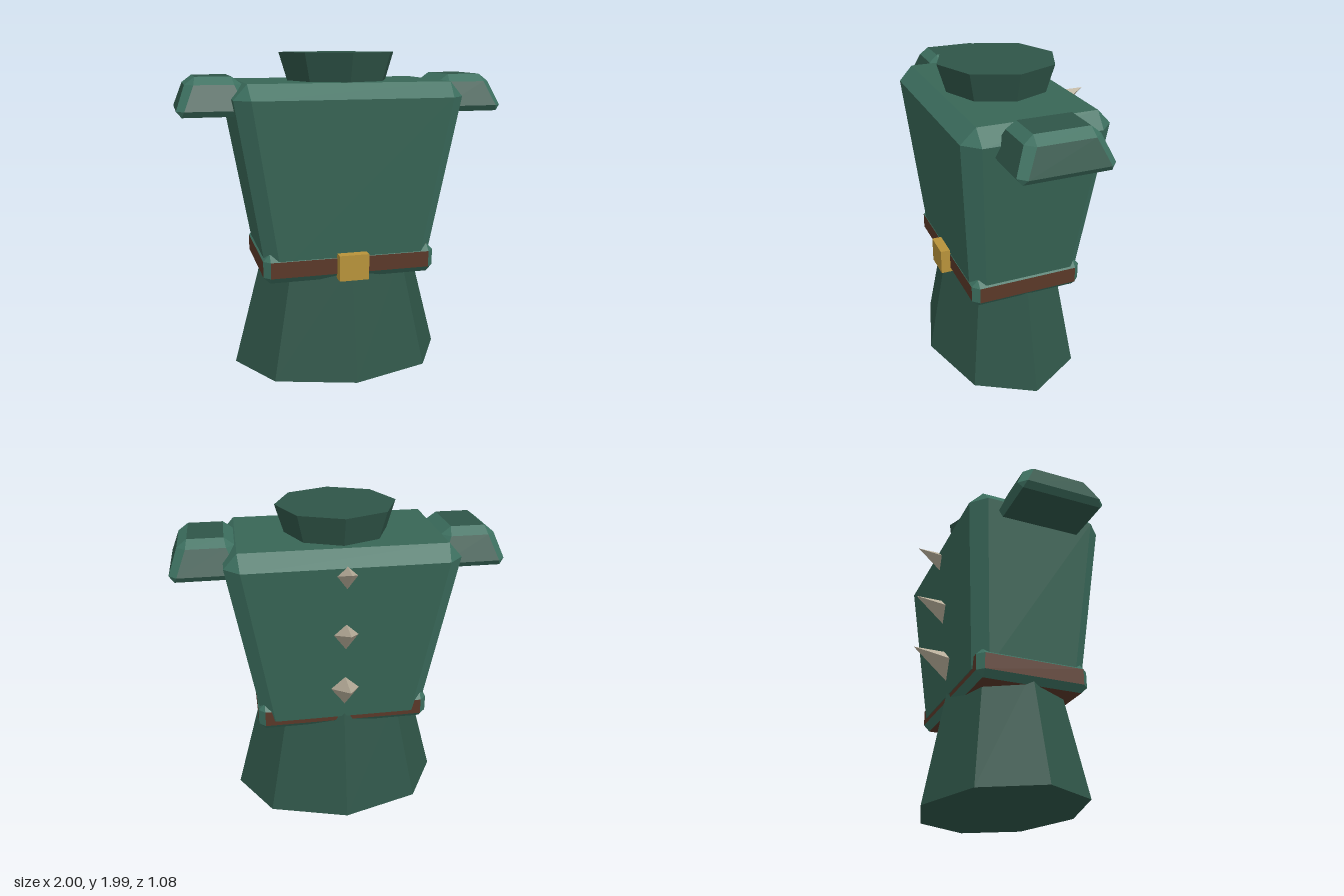
import * as THREE from 'three';

const Z = 0.043; // depth of the body axis

const mat = (color) => new THREE.MeshStandardMaterial({ color, flatShading: true });

// Tapered box with bevelled edges, lofted from rings [y, halfX, halfZ, cornerCut].
// Returns two geometries: the flat faces and the bevels.
function bevelBox(rings) {
  const flats = [], bevels = [];
  const loops = rings.map(([y, w, d, c]) => [
    [w, d - c], [w, c - d], [w - c, -d], [c - w, -d],
    [-w, c - d], [-w, d - c], [c - w, d], [w - c, d],
  ].map(([x, z]) => new THREE.Vector3(x, y, z)));
  const tri = (out, a, b, c) => {
    const area = b.clone().sub(a).cross(c.clone().sub(a)).length();
    if (area > 1e-7) for (const p of [a, b, c]) out.push(p.x, p.y, p.z);
  };
  const last = loops.length - 1;
  for (let r = 0; r < last; r++) {
    // a ring pair ending in a sharp rectangle is an edge bevel
    const isEdge = rings[r][3] === 0 || rings[r + 1][3] === 0;
    for (let i = 0; i < 8; i++) {
      const j = (i + 1) % 8;
      const out = isEdge || i % 2 ? bevels : flats;
      const a = loops[r][i], b = loops[r][j], c = loops[r + 1][j], d = loops[r + 1][i];
      tri(out, a, b, c);
      tri(out, a, c, d);
    }
  }
  for (let i = 1; i < 7; i++) {
    tri(flats, loops[last][0], loops[last][i], loops[last][i + 1]);
    tri(flats, loops[0][0], loops[0][i + 1], loops[0][i]);
  }
  return [flats, bevels].map((pos) => {
    const g = new THREE.BufferGeometry();
    g.setAttribute('position', new THREE.Float32BufferAttribute(pos, 3));
    g.computeVertexNormals();
    return g;
  });
}

export function createModel() {
  const model = new THREE.Group();
  model.name = 'tunic';

  const trim = mat(0x3d7060);
  const cloth = mat(0x386656);
  const darkCloth = mat(0x2f5548);
  const leather = mat(0x5a3828);
  const gold = mat(0xb8933a);
  const bone = mat(0xb8ae9a);

  const add = (name, geometry, material, x, y, z, parent = model) => {
    const m = new THREE.Mesh(geometry, material);
    m.name = name;
    m.position.set(x, y, z);
    parent.add(m);
    return m;
  };
  const addBevelBox = (name, rings, face, x, z) => {
    const group = new THREE.Group();
    group.name = name;
    group.position.set(x, 0, z);
    const [flats, bevels] = bevelBox(rings);
    add(name + 'Faces', flats, face, 0, 0, 0, group);
    add(name + 'Bevels', bevels, trim, 0, 0, 0, group);
    model.add(group);
  };

  // Flared eight-sided skirt, flattened front to back
  const skirt = add('skirt', new THREE.CylinderGeometry(0.5, 0.69, 0.72, 8), darkCloth, 0, 0.36, Z + 0.004);
  skirt.scale.z = 0.717;

  // Torso widening to the shoulders
  addBevelBox('torso', [
    [0.70, 0.517, 0.353, 0.08],
    [1.73, 0.69, 0.442, 0.09],
    [1.82, 0.61, 0.355, 0],
  ], cloth, 0, Z);

  // Belt with bevelled green edges, and its buckle
  addBevelBox('belt', [
    [0.63, 0.50, 0.315, 0],
    [0.67, 0.54, 0.355, 0.04],
    [0.77, 0.54, 0.355, 0.04],
    [0.81, 0.50, 0.315, 0],
  ], leather, 0, 0.05);
  add('buckle', new THREE.BoxGeometry(0.185, 0.16, 0.1), gold, 0, 0.72, 0.415);

  // Collar
  add('collar', new THREE.CylinderGeometry(0.368, 0.295, 0.24, 8), darkCloth, 0, 1.87, Z);

  // Shoulder pads
  for (const side of [1, -1]) {
    addBevelBox(side > 0 ? 'leftShoulderPad' : 'rightShoulderPad', [
      [1.63, 0.19, 0.25, 0],
      [1.665, 0.22, 0.278, 0.045],
      [1.81, 0.165, 0.215, 0.05],
      [1.855, 0.105, 0.16, 0],
    ], darkCloth, side * 0.78, Z);
  }

  // Row of spikes down the back, tilted upwards
  const spike = new THREE.ConeGeometry(0.135, 0.35, 4);
  spike.translate(0, -0.175, 0); // pivot at the tip
  [1.74, 1.37, 1.0].forEach((y, i) => {
    add('backSpike' + (i + 1), spike, bone, 0, y, -0.54).rotation.x = -1.2;
  });

  return model;
}
